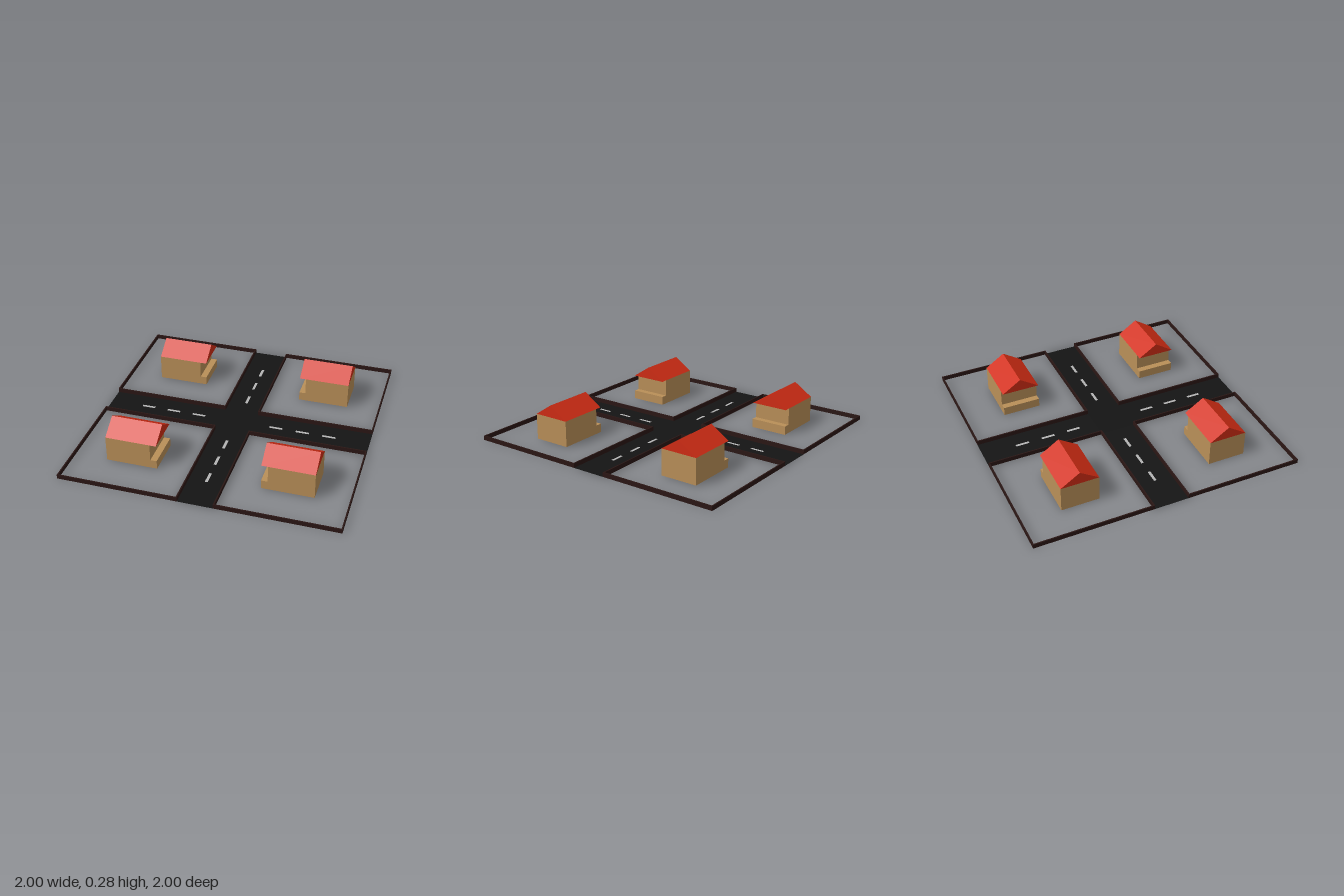
import * as THREE from 'three';

const material = (color, side = THREE.FrontSide) =>
  new THREE.MeshStandardMaterial({ color, side, flatShading: true });

export function createModel() {
  const model = new THREE.Group();
  model.name = 'crossroadsVillage';
  const asphalt = material(0x141414, THREE.DoubleSide);
  const paint = material(0xb4b4b4);
  const curbBrown = material(0x2a1614);
  const wallTan = material(0xb98f58);
  const roofRed = material(0xd02c14);

  const ROAD = 0.127; // half the road width
  const CURB = 0.009; // curb thickness
  const CURB_H = 0.032;

  const box = (parent, name, mat, x0, x1, y0, y1, z0, z1) => {
    const mesh = new THREE.Mesh(new THREE.BoxGeometry(x1 - x0, y1 - y0, z1 - z0), mat);
    mesh.position.set((x0 + x1) / 2, (y0 + y1) / 2, (z0 + z1) / 2);
    mesh.name = name;
    parent.add(mesh);
  };

  // Flat cross-shaped road
  const r = ROAD;
  const cross = new THREE.Shape([
    [-1, -r], [-r, -r], [-r, -1], [r, -1], [r, -r], [1, -r],
    [1, r], [r, r], [r, 1], [-r, 1], [-r, r], [-1, r],
  ].map(([x, y]) => new THREE.Vector2(x, y)));
  const road = new THREE.Mesh(new THREE.ShapeGeometry(cross).rotateX(-Math.PI / 2), asphalt);
  road.name = 'road';
  model.add(road);

  // Dashed centre lines on the four arms
  for (let arm = 0; arm < 4; arm++) {
    for (const d of [0.3, 0.5, 0.7]) {
      const dash = new THREE.Mesh(new THREE.PlaneGeometry(0.1, 0.02).rotateX(-Math.PI / 2), paint);
      const angle = arm * Math.PI / 2;
      dash.position.set(d * Math.cos(angle), 0.003, d * Math.sin(angle));
      dash.rotation.y = angle;
      dash.name = 'laneDash';
      model.add(dash);
    }
  }

  // Gable roof profile, extruded along the ridge
  const gable = new THREE.Shape([
    new THREE.Vector2(-0.14, 0), new THREE.Vector2(0.14, 0), new THREE.Vector2(0, 0.092),
  ]);
  const roofGeometry = new THREE.ExtrudeGeometry(gable, { depth: 0.375, bevelEnabled: false })
    .translate(0, 0, -0.1875).rotateY(Math.PI / 2);

  // Four curbed plots, each with a house whose porch faces the road
  for (const sx of [-1, 1]) {
    for (const sz of [-1, 1]) {
      const plot = new THREE.Group();
      plot.name = 'plot';
      model.add(plot);
      const add = (name, mat, xa, xb, y0, y1, za, zb) =>
        box(plot, name, mat, Math.min(sx * xa, sx * xb), Math.max(sx * xa, sx * xb), y0, y1,
          Math.min(sz * za, sz * zb), Math.max(sz * za, sz * zb));

      // Curb frame around the open plot
      add('curb', curbBrown, r, 1, 0, CURB_H, r, r + CURB);
      add('curb', curbBrown, r, 1, 0, CURB_H, 1 - CURB, 1);
      add('curb', curbBrown, r, r + CURB, 0, CURB_H, r + CURB, 1 - CURB);
      add('curb', curbBrown, 1 - CURB, 1, 0, CURB_H, r + CURB, 1 - CURB);

      // House body and porch step
      add('houseBody', wallTan, 0.423, 0.751, 0, 0.192, 0.423, 0.703);
      add('porchStep', wallTan, 0.376, 0.423, 0, 0.065, 0.423, 0.703);

      const roof = new THREE.Mesh(roofGeometry, roofRed);
      roof.position.set(sx * 0.5635, 0.192, sz * 0.563);
      roof.name = 'roof';
      plot.add(roof);
    }
  }
  return model;
}
